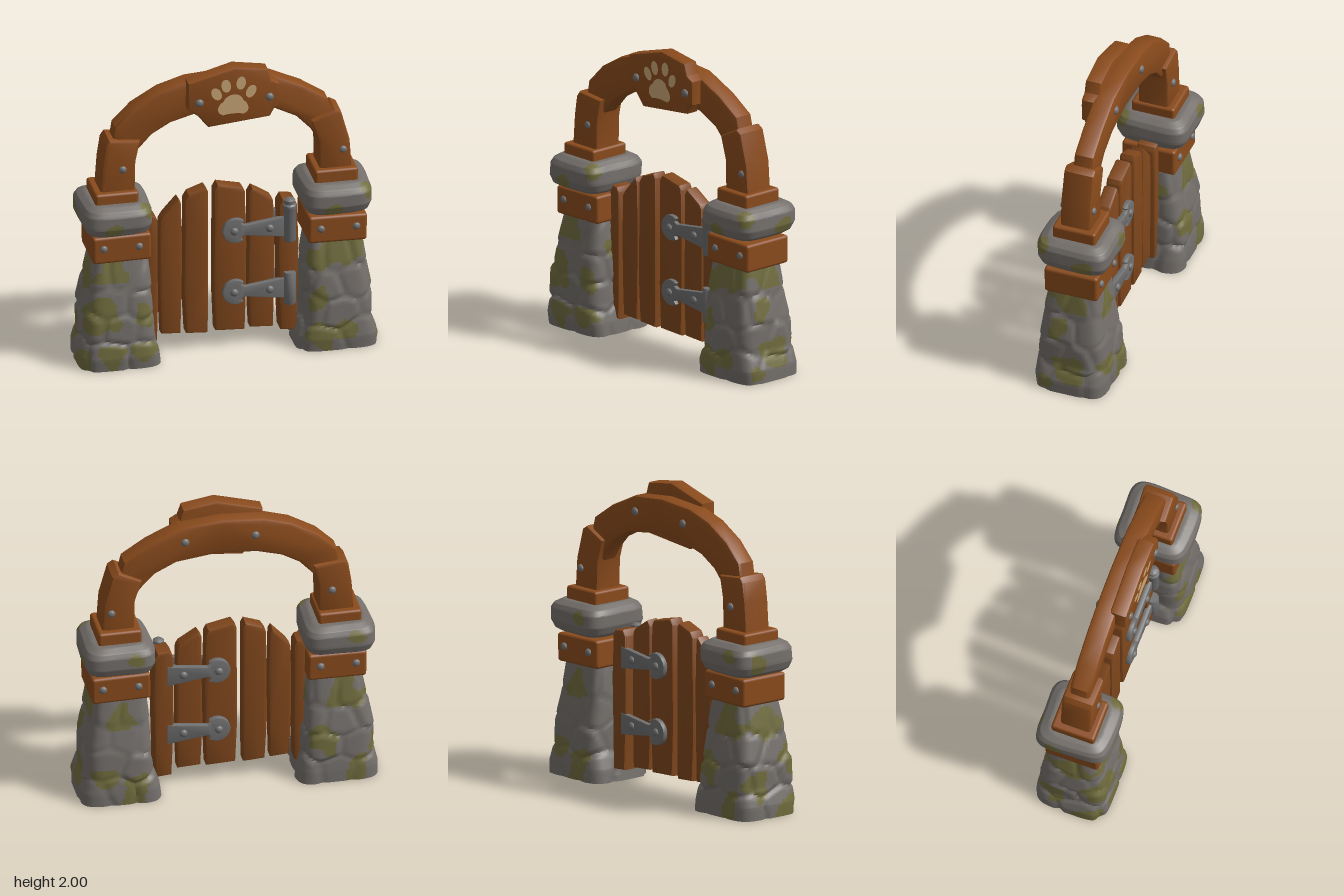
import * as THREE from 'three';
import { toCreasedNormals } from 'three/addons/utils/BufferGeometryUtils.js';
import { RoundedBoxGeometry } from 'three/addons/geometries/RoundedBoxGeometry.js';

const paint = (name, color) => {
  const m = new THREE.MeshStandardMaterial({ color });
  m.name = name;
  return m;
};

export function createModel() {
  const root = new THREE.Group();
  root.name = 'gardenGate';
  const wood = paint('wood', 0x8a4b1c);
  const gateWood = paint('gateWood', 0x80471c);
  const stone = paint('stone', 0x746f6b);
  const moss = paint('moss', 0x706c3e);
  const metal = paint('metal', 0x706f6f);
  const cream = paint('cream', 0xc9a676);

  let seed = 7;
  const rand = () => (seed = (seed * 16807) % 2147483647) / 2147483647;

  const add = (name, geo, mat, x = 0, y = 0, z = 0, parent = root) => {
    const m = new THREE.Mesh(geo, mat);
    m.name = name;
    m.position.set(x, y, z);
    parent.add(m);
    return m;
  };

  // Bevelled board cut from an outline in the xy plane, between two depths
  const polygon = points => new THREE.Shape(points.map(p => new THREE.Vector2(p[0], p[1])));
  const slab = (name, shape, z0, z1, mat, bevel) => {
    const geo = new THREE.ExtrudeGeometry(shape, {
      depth: z1 - z0 - 2 * bevel, bevelThickness: bevel, bevelSize: bevel,
      bevelOffset: -bevel, bevelSegments: 2, curveSegments: 16,
    });
    geo.translate(0, 0, z0 + bevel);
    add(name, toCreasedNormals(geo, 0.6), mat);
  };

  // Domed rivet facing forward (side 1) or backward (side -1)
  const rivet = (x, y, z, side, r = 0.026) => {
    const geo = new THREE.SphereGeometry(r, 14, 6, 0, Math.PI * 2, 0, Math.PI / 2);
    const m = add('rivet', geo, metal, x, y, z);
    m.rotation.x = side * Math.PI / 2;
    m.scale.y = 0.75;
  };

  // Rounded-square loft broken into stones by creases, with moss blobs.
  // rows: [y, xMin, xMax, zMin, zMax]; blobs: [x, y, z, radius]
  const shrink = r => {
    const cx = (r[1] + r[2]) / 2, cz = (r[3] + r[4]) / 2;
    return [r[0], cx - 0.002, cx + 0.002, cz - 0.002, cz + 0.002];
  };
  const rock = (name, rows, cells, blobs, floor = stone) => {
    const cols = 88, steps = 9, pos = [], faces = [[], [], []];
    const ring = (y, x0, x1, z0, z1) => {
      for (let j = 0; j < cols; j++) {
        const a = j / cols * Math.PI * 2, c = Math.cos(a), s = Math.sin(a);
        const r = (Math.abs(c) ** 5 + Math.abs(s) ** 5) ** -0.2;
        const cx = (x0 + x1) / 2, cz = (z0 + z1) / 2;
        const dx = (x1 - x0) / 2 * c * r, dz = (z1 - z0) / 2 * s * r;
        let d1 = 9, d2 = 9, push = 0;
        for (const q of cells) {
          const d = Math.hypot(cx + dx - q[0], (y - q[1]) * 1.2, cz + dz - q[2]);
          if (d < d1) { d2 = d1; d1 = d; push = q[3]; } else if (d < d2) d2 = d;
        }
        const edge = Math.min(1, (d2 - d1) / 0.05);
        const k = cells.length ? 1 - 0.05 * (1 - edge) + push * edge : 1 + 0.02 * Math.sin(3 * a + y * 9);
        pos.push(cx + dx * k, y, cz + dz * k);
      }
    };
    const all = [shrink(rows[0]), ...rows, shrink(rows.at(-1))];
    for (let i = 0; i < all.length - 1; i++)
      for (let t = 0; t < steps; t++) ring(...all[i].map((v, n) => v + (all[i + 1][n] - v) * t / steps));
    ring(...all.at(-1));
    const isMoss = (x, y, z) => blobs.some(b => {
      const w = 1 + 0.22 * Math.sin(31 * x + 17 * y) + 0.2 * Math.sin(37 * y - 23 * z + 2);
      return Math.hypot(x - b[0], y - b[1], z - b[2]) < b[3] * w;
    });
    const count = pos.length / 3 / cols;
    for (let i = 0; i < count - 1; i++) for (let j = 0; j < cols; j++) {
      const p = i * cols + j, q = i * cols + (j + 1) % cols;
      const mid = n => (pos[p * 3 + n] + pos[(q + cols) * 3 + n]) / 2;
      const group = i < steps ? 2 : isMoss(mid(0), mid(1), mid(2)) ? 1 : 0;
      faces[group].push(p, p + cols, q, q, p + cols, q + cols);
    }
    const geo = new THREE.BufferGeometry();
    geo.setAttribute('position', new THREE.Float32BufferAttribute(pos, 3));
    geo.setIndex(faces.flat());
    let start = 0;
    faces.forEach((f, n) => { geo.addGroup(start, f.length, n); start += f.length; });
    add(name, toCreasedNormals(geo, 0.8), [stone, moss, floor]);
  };

  // Stone centres laid in staggered courses around a pillar
  const courses = cx => [0.07, 0.27, 0.44, 0.63].flatMap((y, n) => Array.from({ length: 7 }, (_, i) => {
    const a = (i + n * 0.5 + rand() * 0.4) / 7 * Math.PI * 2, r = 0.24 - n * 0.02;
    return [cx + Math.cos(a) * r, y + (rand() - 0.5) * 0.07, Math.sin(a) * r, (rand() - 0.4) * 0.06];
  }));

  // Pillars
  rock('rightPillar', [
    [0, -0.97, -0.44, -0.24, 0.24], [0.08, -0.97, -0.45, -0.24, 0.25], [0.2, -0.94, -0.48, -0.23, 0.24],
    [0.36, -0.94, -0.49, -0.22, 0.23], [0.52, -0.91, -0.5, -0.19, 0.21], [0.73, -0.87, -0.52, -0.16, 0.17],
  ], courses(-0.7), [
    [-0.77, 0.67, 0.18, 0.1], [-0.85, 0.37, 0.2, 0.12], [-0.57, 0.36, 0.22, 0.07], [-0.77, 0.1, 0.25, 0.08],
    [-0.55, 0.12, 0.24, 0.08], [-0.93, 0.05, 0.15, 0.1], [-0.9, 0.6, 0, 0.11], [-0.95, 0.2, -0.1, 0.09],
    [-0.75, 0.62, -0.18, 0.11], [-0.6, 0.3, -0.22, 0.09], [-0.82, 0.08, -0.24, 0.08], [-0.5, 0.55, 0, 0.1],
  ], moss);
  rock('leftPillar', [
    [0, 0.44, 0.97, -0.24, 0.24], [0.08, 0.45, 0.97, -0.24, 0.25], [0.2, 0.49, 0.93, -0.23, 0.24],
    [0.36, 0.49, 0.93, -0.22, 0.23], [0.52, 0.5, 0.9, -0.19, 0.21], [0.73, 0.52, 0.87, -0.16, 0.17],
  ], courses(0.7), [
    [0.6, 0.64, 0.18, 0.1], [0.77, 0.68, 0.16, 0.1], [0.72, 0.13, 0.24, 0.08], [0.57, 0.1, 0.25, 0.1],
    [0.56, 0.36, 0.22, 0.07], [0.88, 0.66, 0, 0.1], [0.92, 0.47, 0.08, 0.08], [0.95, 0.16, 0, 0.1],
    [0.95, 0.05, 0.16, 0.06], [0.62, 0.1, -0.24, 0.1], [0.82, 0.2, -0.23, 0.08], [0.7, 0.6, -0.18, 0.09],
  ]);

  // Capstones, bands, collars and band rivets
  for (const s of [-1, 1]) {
    const side = s < 0 ? 'right' : 'left', cx = s < 0 ? -0.72 : 0.705, up = s < 0 ? 0 : 0.012;
    const row = (y, w, d) => [y + up, cx - w, cx + w, -d, d];
    rock(side + 'Capstone', [
      row(0.92, 0.18, 0.19), row(0.94, 0.208, 0.225), row(0.99, 0.228, 0.245),
      row(1.07, 0.226, 0.243), row(1.1, 0.21, 0.225), row(1.125, 0.17, 0.18),
    ], [], [
      [cx - 0.05, 0.97, 0.24, 0.05], [cx + 0.19, 1.08, 0.2, 0.05],
      [cx + s * 0.22, 1, -0.1, 0.06], [cx - 0.1, 1.06, -0.23, 0.05],
    ]);
    const band = add(side + 'Band', new RoundedBoxGeometry(0.38, 0.185, 0.36, 3, 0.02), wood, s * 0.7, 0.82, 0.002);
    band.rotation.z = s * -0.015;
    for (const x of [0.59, 0.82]) for (const f of [-1, 1]) rivet(s * x, 0.83, f * 0.178, f);
    const collar = new RoundedBoxGeometry(0.28, 0.11, 0.29, 3, 0.018);
    add(side + 'Collar', collar, wood, s < 0 ? -0.725 : 0.7, s < 0 ? 1.14 : 1.165, 0);
  }

  // Arch posts
  slab('rightArchPost', polygon([[-0.825, 1.17], [-0.6, 1.17], [-0.595, 1.38], [-0.565, 1.525],
    [-0.765, 1.545], [-0.79, 1.51], [-0.81, 1.38]]), -0.1, 0.105, wood, 0.02);
  slab('leftArchPost', polygon([[0.6, 1.19], [0.81, 1.19], [0.795, 1.4], [0.74, 1.6], [0.7, 1.625],
    [0.55, 1.55], [0.595, 1.4]]), -0.1, 0.105, wood, 0.02);
  for (const f of [-1, 1]) {
    rivet(-0.68, 1.34, f * 0.1, f);
    rivet(0.75, 1.34, f * 0.1, f);
  }

  // Arch beam
  const outer = [[-0.74, 1.5], [-0.72, 1.62], [-0.6, 1.74], [-0.43, 1.84], [-0.25, 1.895], [0.02, 1.915],
    [0.28, 1.89], [0.5, 1.79], [0.66, 1.685], [0.7, 1.52]];
  const inner = [[0.61, 1.38], [0.55, 1.48], [0.46, 1.575], [0.32, 1.645], [0.05, 1.68], [-0.2, 1.66],
    [-0.36, 1.615], [-0.48, 1.545], [-0.585, 1.43]];
  slab('archBeam', polygon([...outer, ...inner]), -0.07, 0.065, wood, 0.022);

  // Sign board with a painted paw
  slab('signBoard', polygon([[-0.13, 1.595], [0.27, 1.635], [0.3, 1.69], [0.33, 1.705], [0.33, 1.86], [0.28, 1.89],
    [0.255, 1.965], [0.04, 2], [-0.26, 1.915], [-0.265, 1.73], [-0.2, 1.68]]), 0.03, 0.14, wood, 0.016);
  for (const x of [-0.19, 0.265]) {
    rivet(x, 1.775, 0.138, 1, 0.028);
    rivet(x, 1.79, -0.068, -1, 0.028);
  }
  const paw = new THREE.Group();
  paw.name = 'paintedPaw';
  paw.position.set(0.03, 1.73, 0.142);
  root.add(paw);
  const pad = new THREE.Shape();
  pad.moveTo(-0.065, -0.055);
  pad.quadraticCurveTo(0, -0.04, 0.065, -0.055);
  pad.bezierCurveTo(0.11, -0.045, 0.105, 0.01, 0.065, 0.04);
  pad.bezierCurveTo(0.05, 0.1, -0.04, 0.1, -0.065, 0.04);
  pad.bezierCurveTo(-0.115, 0.01, -0.11, -0.045, -0.065, -0.055);
  add('pawPad', new THREE.ShapeGeometry(pad), cream, 0, 0, 0, paw);
  for (const [x, y, tilt] of [[-0.11, 0.097, 0.5], [-0.047, 0.148, 0.15], [0.05, 0.16, -0.1], [0.115, 0.097, -0.45]]) {
    const toe = add('pawToe', new THREE.CircleGeometry(1, 20), cream, x, y, 0, paw);
    toe.scale.set(0.031, 0.046, 1);
    toe.rotation.z = tilt;
  }

  // Gate boards: [x0, x1, bottom, top left, top right, back, front]
  for (const [x0, x1, y0, yl, yr, z0, z1] of [
    [-0.53, -0.435, 0.09, 0.975, 0.965, -0.07, 0.06], [-0.43, -0.28, 0.12, 0.96, 1.065, -0.05, 0.045],
    [-0.27, -0.105, 0.11, 1.09, 1.13, -0.055, 0.05], [-0.08, 0.135, 0.11, 1.14, 1.105, -0.055, 0.05],
    [0.145, 0.32, 0.11, 1.095, 1.02, -0.05, 0.045], [0.34, 0.47, 0.08, 1.0, 0.99, -0.085, 0.06],
  ]) {
    const j = () => (rand() - 0.3) * 0.012;
    slab('gateBoard', polygon([[x0 + 0.015, y0 + 0.008], [x1 - 0.01, y0], [x1 - j(), y0 + 0.25], [x1 - j(), y0 + 0.6],
      [x1 - 0.008, yr - 0.03], [x1 - 0.025, yr], [x0 + 0.03, yl], [x0 + 0.006, yl - 0.04],
      [x0 + j(), y0 + 0.6], [x0 + j(), y0 + 0.3]]), z0, z1, gateWood, 0.016);
  }

  // Strap hinges on both faces, with a barrel in front
  for (const y of [0.82, 0.39]) {
    const strap = new THREE.Shape();
    strap.moveTo(0.385, y - 0.072);
    strap.lineTo(0.385, y + 0.072);
    strap.lineTo(0.12, y + 0.036);
    strap.lineTo(0.095, y + 0.05);
    strap.lineTo(0.11, y + 0.07);
    strap.absarc(0.06, y, 0.085, 0.95, Math.PI * 2 - 0.95, false);
    strap.lineTo(0.095, y - 0.05);
    strap.lineTo(0.12, y - 0.036);
    for (const f of [-1, 1]) {
      slab('hingeStrap', strap, f > 0 ? 0.042 : -0.088, f > 0 ? 0.078 : -0.05, metal, 0.006);
      for (const x of [0.05, 0.28]) rivet(x, y, f > 0 ? 0.076 : -0.086, f, 0.027);
    }
    const profile = y > 0.5
      ? [[0, -0.1], [0.036, -0.1], [0.04, -0.09], [0.04, 0.12], [0.044, 0.125], [0.044, 0.15], [0.034, 0.16], [0.036, 0.185], [0.02, 0.197], [0, 0.2]]
      : [[0, -0.11], [0.036, -0.11], [0.04, -0.1], [0.04, 0.1], [0.036, 0.11], [0, 0.11]];
    const barrel = new THREE.LatheGeometry(profile.map(p => new THREE.Vector2(p[0], p[1])), 20);
    add('hingeBarrel', toCreasedNormals(barrel, 0.7), metal, 0.41, y, 0.07);
  }
  return root;
}
